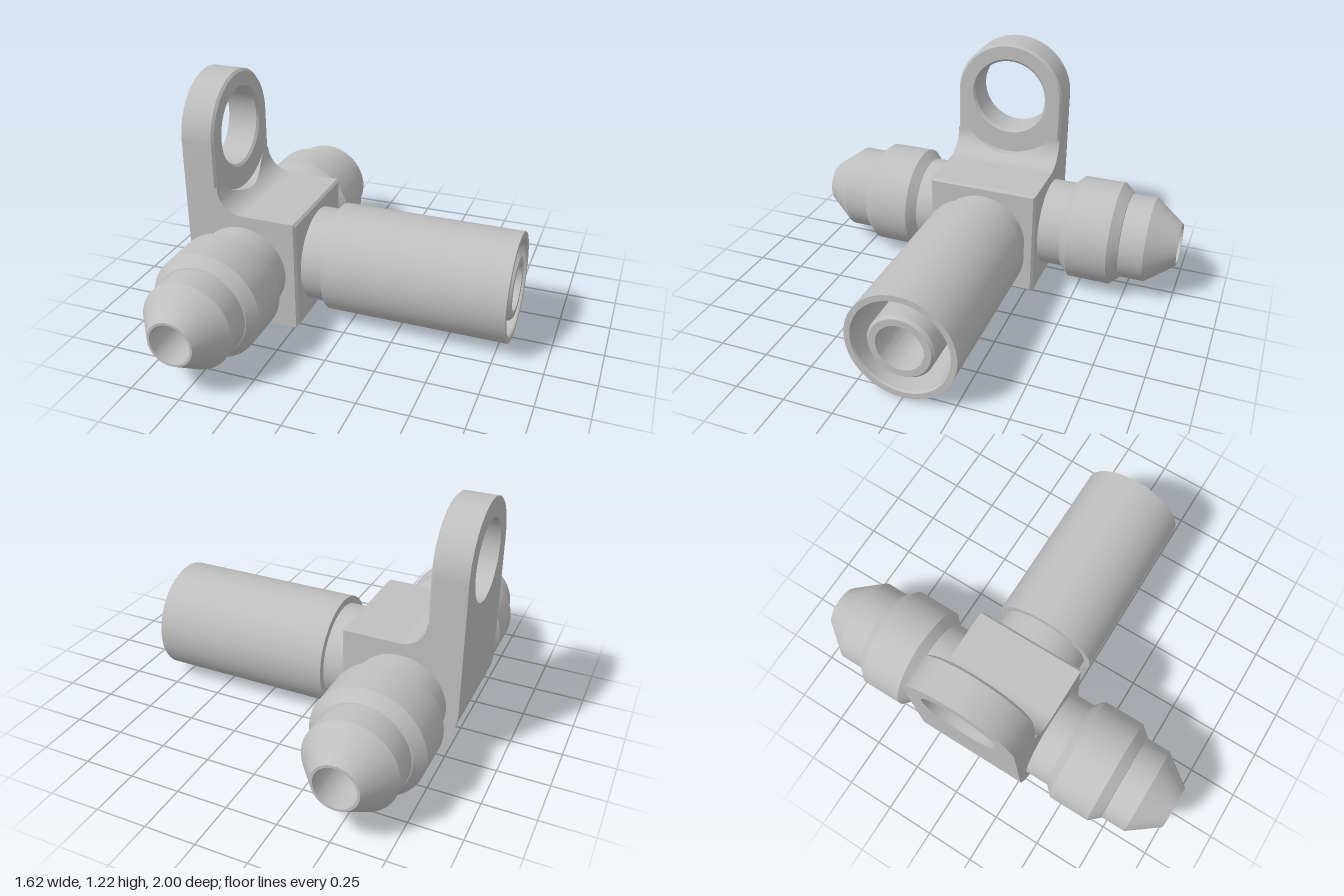
import * as THREE from 'three';
import { toCreasedNormals } from 'three/addons/utils/BufferGeometryUtils.js';

const CX = -0.52, CY = 0.295, H = 0.29;      // body axis and half width
const TAB_X = -0.64, EYE_Y = 0.935;          // lug inner face, eye height
const FILLET = 0.13, SPOT = 0.32;            // fillet and spot-face radii

export function createModel() {
  const group = new THREE.Group();
  const metal = new THREE.MeshStandardMaterial({ color: 0xbfbfbf });
  metal.name = 'grey metal';

  const add = (name, geo) => {
    const mesh = new THREE.Mesh(toCreasedNormals(geo, 0.45), metal);
    mesh.name = name;
    group.add(mesh);
    return mesh;
  };
  const lathe = (pts) =>
    new THREE.LatheGeometry(pts.map(([r, y]) => new THREE.Vector2(r, y)), 80);
  const circle = (x, y, r) => new THREE.Path().absarc(x, y, r, 0, Math.PI * 2, true);

  // Body: block with one rounded lower edge and a cross bore
  const c = 0.012;
  const right = -0.23 - c;
  const body = new THREE.Shape();
  body.moveTo(right, CY - H);
  body.lineTo(right, CY + H);
  body.lineTo(CX - H, CY + H);
  body.lineTo(CX - H, CY);
  body.absarc(CX, CY, H, Math.PI, Math.PI * 1.5, false);
  body.holes.push(circle(CX, CY, 0.1));
  add('body', new THREE.ExtrudeGeometry(body, { depth: 2 * H, bevelEnabled: false, curveSegments: 40 })
    .translate(0, 0, -H));

  // Chamfered face of the body on the tube side
  const chamfer = new THREE.CylinderGeometry((H - c) * Math.SQRT2, H * Math.SQRT2, c, 4)
    .rotateY(Math.PI / 4).rotateZ(-Math.PI / 2).translate(-0.23 - c / 2, CY, 0);
  add('bodyChamfer', chamfer);

  // Lug: round-topped plate with an eye, chamfered on its inner face
  const lugShape = (bottom) => {
    const s = new THREE.Shape();
    s.moveTo(-H, bottom);
    s.lineTo(H, bottom);
    s.lineTo(H, EYE_Y);
    s.absarc(0, EYE_Y, H, 0, Math.PI, false);
    s.closePath();
    s.holes.push(circle(0, EYE_Y, 0.195));
    return s;
  };
  const lugBack = new THREE.ExtrudeGeometry(lugShape(0.575),
    { depth: 0.15, bevelEnabled: false, curveSegments: 48 });
  add('lug', lugBack.rotateY(Math.PI / 2).translate(CX - H, 0, 0));
  const lugFront = new THREE.ExtrudeGeometry(lugShape(0.54), {
    depth: 0.06, bevelEnabled: true, bevelSegments: 1, curveSegments: 48,
    bevelSize: c, bevelThickness: c, bevelOffset: -c,
  });
  add('lugChamfer', lugFront.rotateY(Math.PI / 2).translate(TAB_X - 0.06 - c, 0, 0));

  // Fillet ends between lug and body
  const fx = TAB_X + FILLET, fy = CY + H + FILLET, zCut = 0.22;
  const web = new THREE.Shape();
  web.moveTo(TAB_X - 0.02, CY + H - 0.02);
  web.lineTo(fx, CY + H - 0.02);
  web.lineTo(fx, CY + H);
  web.absarc(fx, fy, FILLET, Math.PI * 1.5, Math.PI, true);
  web.lineTo(TAB_X - 0.02, fy);
  for (const z of [-H, zCut]) {
    add('filletEnd', new THREE.ExtrudeGeometry(web,
      { depth: H - zCut, bevelEnabled: false, curveSegments: 16 }).translate(0, 0, z));
  }

  // Fillet middle, with the round spot-face cut into it
  const cols = 40, rows = 16, pos = [], index = [];
  for (let i = 0; i <= cols; i++) {
    const z = -zCut + (2 * zCut * i) / cols;
    const yc = Math.min(fy, EYE_Y - Math.sqrt(SPOT * SPOT - z * z));
    const start = Math.asin((fy - yc) / FILLET);
    pos.push(TAB_X, yc, z);
    for (let j = 0; j < rows; j++) {
      const a = start + (Math.PI / 2 - start) * (j / (rows - 1));
      pos.push(fx - FILLET * Math.cos(a), fy - FILLET * Math.sin(a), z);
    }
  }
  const stride = rows + 1;
  for (let i = 0; i < cols; i++) {
    for (let j = 0; j < rows; j++) {
      const a = i * stride + j, b = a + 1, d = a + stride;
      index.push(a, d, b, b, d, d + 1);
    }
  }
  const fillet = new THREE.BufferGeometry();
  fillet.setAttribute('position', new THREE.Float32BufferAttribute(pos, 3));
  fillet.setIndex(index);
  add('fillet', fillet);

  // Two mirrored nozzles, bored through
  for (const side of [1, -1]) {
    const nozzle = lathe([
      [0.23, 0.28], [0.23, 0.41], [0.275, 0.455], [0.275, 0.67], [0.23, 0.72],
      [0.225, 0.722], [0.225, 0.85], [0.112, 1], [0.1, 1], [0.1, 0.28],
    ]);
    add(side > 0 ? 'frontNozzle' : 'backNozzle',
      nozzle.rotateX(side * Math.PI / 2).translate(CX, CY, 0));
  }

  // Tube: neck, sleeve, annular recess, inner pipe and blind bore
  const tube = lathe([
    [0.238, -0.24], [0.238, -0.11], [0.275, -0.11], [0.275, 0.805], [0.245, 0.805],
    [0.24, 0.795], [0.24, 0.0], [0.165, 0.0], [0.165, 0.79], [0.152, 0.805],
    [0.118, 0.805], [0.118, -0.15], [0, -0.22],
  ]);
  add('tube', tube.rotateZ(-Math.PI / 2).translate(0, CY, 0));

  return group;
}
